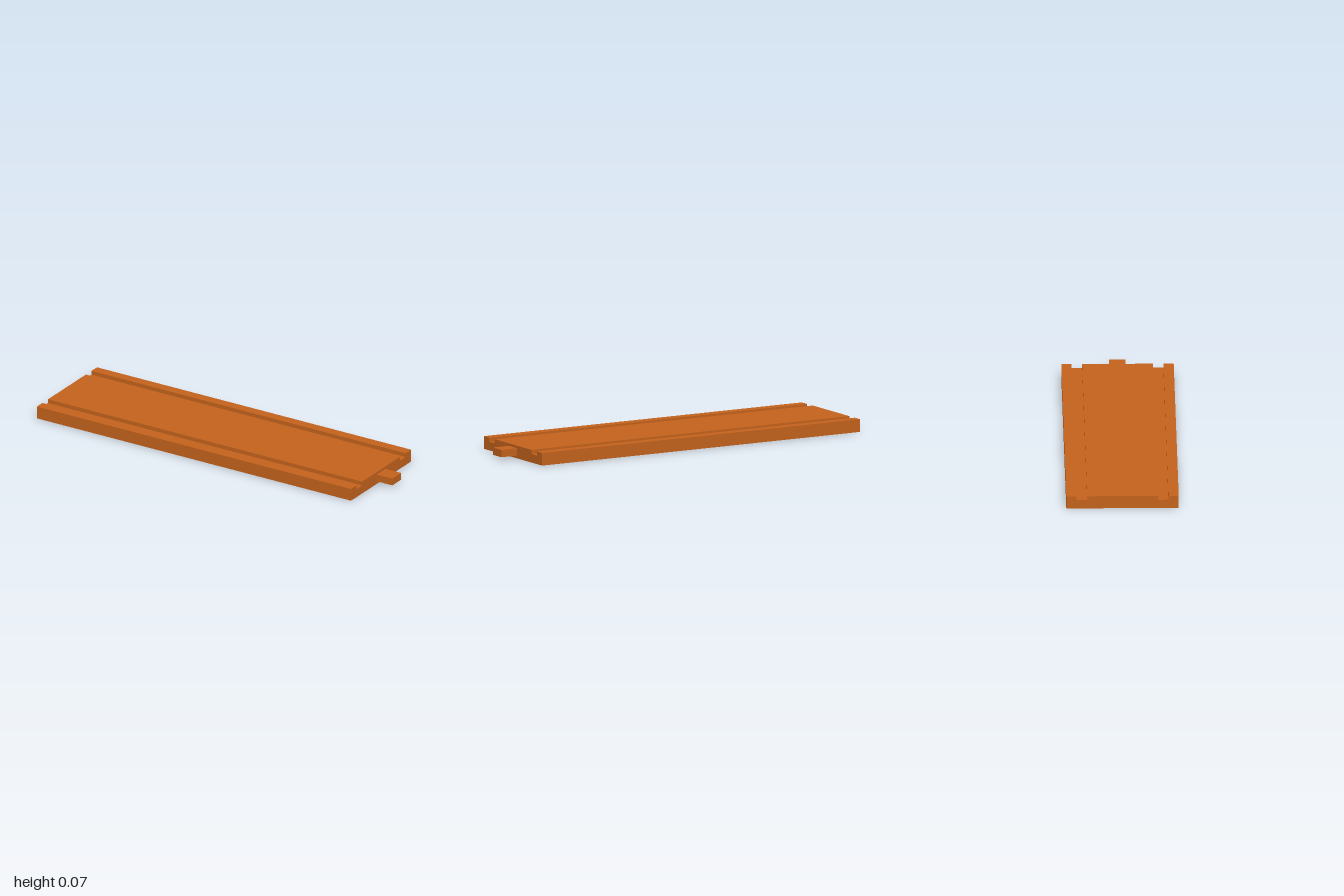
import * as THREE from 'three';

const LEFT_END = -1, BODY_END = 0.905, RIGHT_END = 1;

export function createModel() {
  const group = new THREE.Group();
  const wood = new THREE.MeshStandardMaterial({ color: 0xc4621c });

  // Track plank: half cross-section with one wheel groove, mirrored
  const half = [
    [0.288, 0], [0.288, 0.066], [0.235, 0.066], [0.235, 0.045],
    [0.181, 0.045], [0.181, 0.066],
  ];
  const outline = [...half, ...half.map(([z, y]) => [-z, y]).reverse()];
  const section = new THREE.Shape(outline.map(([z, y]) => new THREE.Vector2(z, y)));
  const plankGeometry = new THREE.ExtrudeGeometry(section, {
    depth: BODY_END - LEFT_END, bevelEnabled: false,
  });
  plankGeometry.rotateY(Math.PI / 2).translate(LEFT_END, 0, 0);
  const plank = new THREE.Mesh(plankGeometry, wood);
  plank.name = 'trackPlank';
  group.add(plank);

  // Connector peg on the end face
  const pegLength = RIGHT_END - BODY_END;
  const peg = new THREE.Mesh(new THREE.BoxGeometry(pegLength, 0.038, 0.084), wood);
  peg.position.set(BODY_END + pegLength / 2, 0.034, 0);
  peg.name = 'connectorPeg';
  group.add(peg);

  return group;
}
